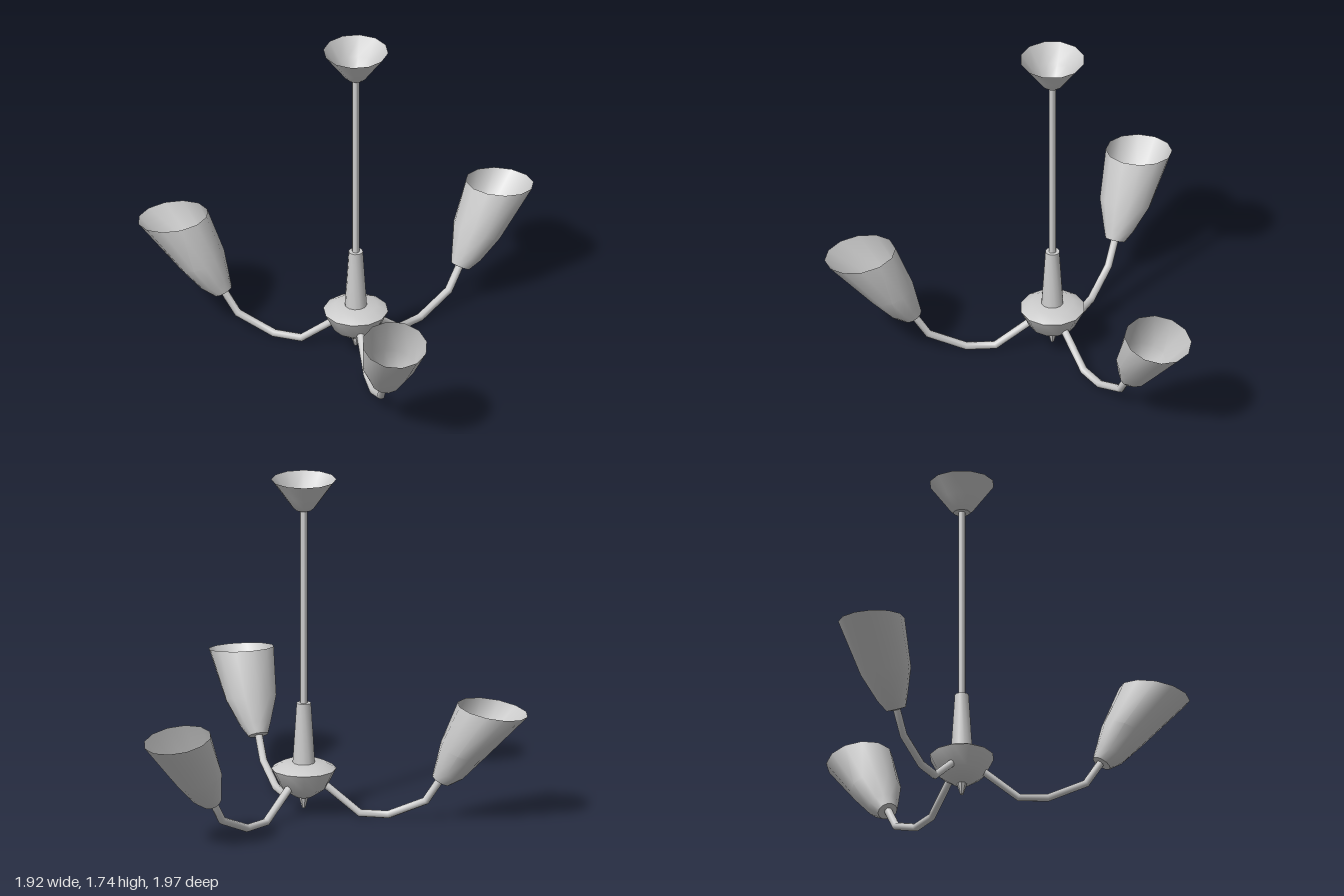
import * as THREE from 'three';
import { toCreasedNormals } from 'three/addons/utils/BufferGeometryUtils.js';

const material = new THREE.MeshStandardMaterial({ color: 0xcccccc, side: THREE.DoubleSide });
const crease = (geometry) => toCreasedNormals(geometry, 0.65);

function part(name, geometry) {
  const mesh = new THREE.Mesh(geometry, material);
  mesh.name = name;
  return mesh;
}

// Turned part from [radius, height] pairs, listed bottom to top
function turned(name, profile, sides = 12) {
  const points = profile.map(([r, y]) => new THREE.Vector2(r, y));
  return part(name, crease(new THREE.LatheGeometry(points, sides)));
}

// Skin over elliptical rings in the xy plane: [x, y, half depth, half width, tilt]
function loft(rings, sides) {
  const positions = [], index = [];
  rings.forEach(([x, y, a, b, tilt], row) => {
    for (let i = 0; i < sides; i++) {
      const t = (i / sides) * Math.PI * 2;
      const u = a * Math.cos(t);
      positions.push(x + u * Math.cos(tilt), y - u * Math.sin(tilt), b * Math.sin(t));
      if (row === 0) continue;
      const j = (i + 1) % sides, low = (row - 1) * sides, high = row * sides;
      index.push(low + i, high + i, low + j, high + i, high + j, low + j);
    }
  });
  const geometry = new THREE.BufferGeometry();
  geometry.setAttribute('position', new THREE.Float32BufferAttribute(positions, 3));
  geometry.setIndex(index);
  geometry.computeVertexNormals();
  return geometry;
}

// Bent arm: rings set square to the path, mitred at each bend
function armGeometry() {
  const path = [[0.06, 0.2], [0.285, 0.023], [0.43, 0.023], [0.62, 0.105], [0.7, 0.23]]
    .map(([x, y]) => new THREE.Vector2(x, y));
  const radius = 0.02;
  const rings = path.map((p, i) => {
    const before = p.clone().sub(path[Math.max(i - 1, 0)]).normalize();
    const after = path[Math.min(i + 1, path.length - 1)].clone().sub(p).normalize();
    const d = before.add(after);
    return [p.x, p.y, radius, radius, Math.atan2(d.x, d.y)];
  });
  return loft(rings, 8);
}

// Leaning shade, closed at the base and cut nearly level at the rim
function shadeGeometry() {
  const deg = Math.PI / 180;
  return crease(loft([
    [0.695, 0.212, 0.001, 0.001, 30 * deg],
    [0.698, 0.217, 0.05, 0.05, 30 * deg],
    [0.738, 0.262, 0.078, 0.078, 26 * deg],
    [0.808, 0.38, 0.117, 0.131, 20 * deg],
    [0.962, 0.6, 0.18, 0.163, 9.7 * deg],
  ], 12));
}

export function createModel() {
  const model = new THREE.Group();
  model.name = 'chandelier';

  // Central column
  model.add(
    turned('ceilingCanopy', [[0.001, 1.585], [0.042, 1.585], [0.058, 1.6], [0.098, 1.655], [0.163, 1.743]]),
    turned('rod', [[0.018, 0.56], [0.018, 1.6]]),
    turned('sleeve', [[0.057, 0.25], [0.036, 0.58], [0.001, 0.58]]),
    turned('hub', [[0.001, 0.09], [0.045, 0.095], [0.115, 0.143], [0.163, 0.24], [0.108, 0.27], [0.001, 0.272]]),
    turned('finial', [[0.001, 0.033], [0.009, 0.035], [0.026, 0.095]], 8),
  );

  // Three arms, each carrying a shade
  const arm = armGeometry(), shade = shadeGeometry();
  for (let i = 0; i < 3; i++) {
    const branch = new THREE.Group();
    branch.name = `branch${i + 1}`;
    branch.add(part('arm', arm), part('shade', shade));
    branch.rotation.y = -THREE.MathUtils.degToRad(11.5 + i * 120);
    model.add(branch);
  }

  model.position.set(-0.16, 0, 0.095);
  const root = new THREE.Group();
  root.add(model);
  return root;
}
